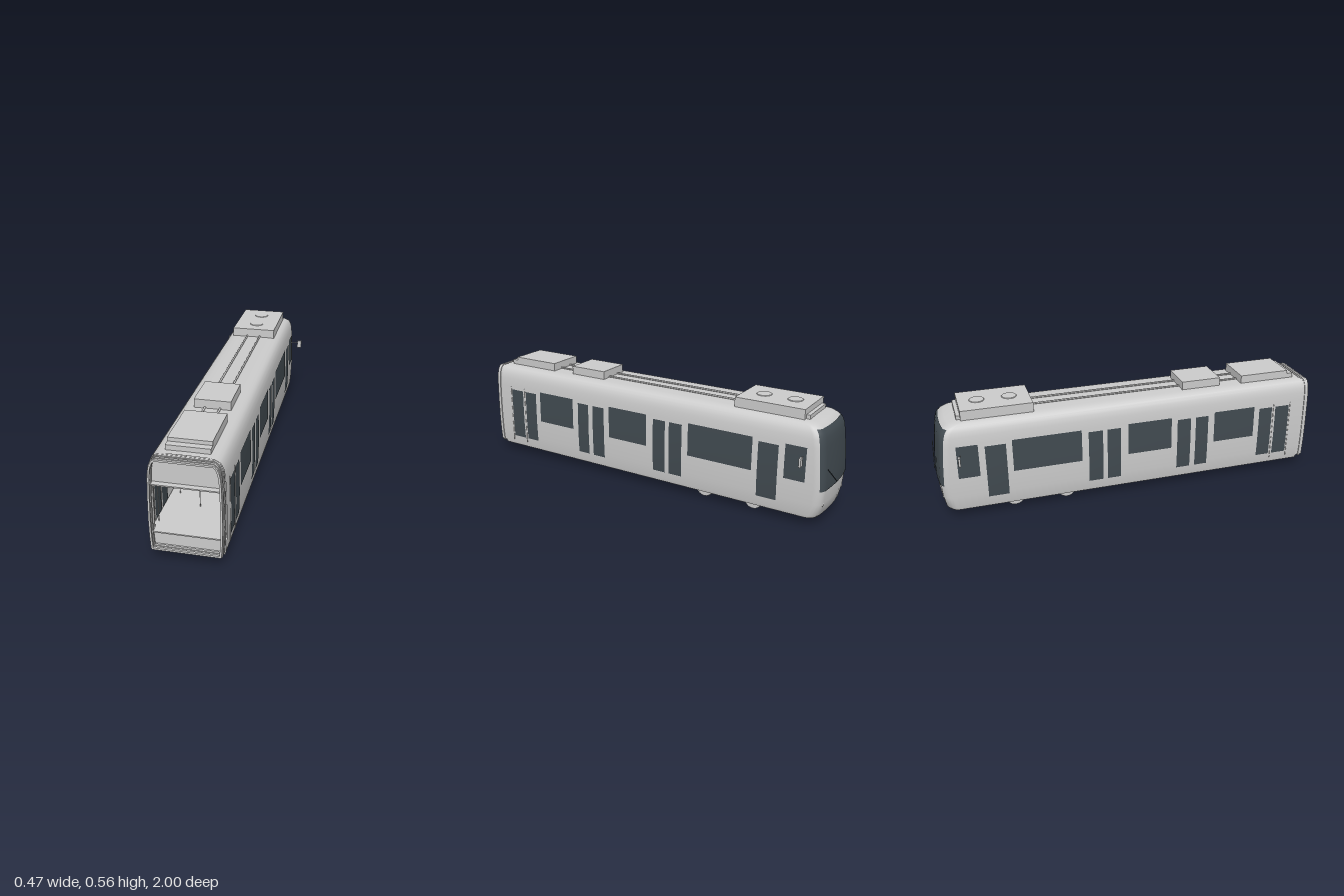
import * as THREE from 'three';
import { toCreasedNormals } from 'three/addons/utils/BufferGeometryUtils.js';

// Body heights: [y, half width, z of the cab face]
const ROWS = [
  [0.045, 0.162, -0.957], [0.06, 0.165, -0.973], [0.12, 0.169, -0.985], [0.2, 0.171, -0.992],
  [0.3, 0.17, -0.986], [0.4, 0.167, -0.976], [0.44, 0.164, -0.97], [0.465, 0.159, -0.962],
  [0.485, 0.151, -0.948], [0.498, 0.141, -0.925], [0.506, 0.126, -0.89], [0.51, 0.1, -0.86],
];
const END = 0.955;
const rowAt = (y) => {
  const i = Math.max(1, ROWS.findIndex((r) => r[0] >= y));
  const t = (y - ROWS[i - 1][0]) / (ROWS[i][0] - ROWS[i - 1][0]);
  return ROWS[i].map((v, k) => THREE.MathUtils.lerp(ROWS[i - 1][k], v, t));
};

// Point on the body. A number runs around the plan: face to 1, corner to 2, side to 3.
function bodyPoint(col, [y, w, zf], off) {
  if (typeof col === 'object') return [col.side * (w + off), y, col.z];
  const s = Math.abs(col), sg = Math.sign(col), r = Math.min(0.045, w);
  if (s <= 1) return [col * (w - r), y, zf + 0.008 * s * s - off];
  if (s <= 2) {
    const a = (s - 1) * Math.PI / 2;
    return [sg * (w - r + (r + off) * Math.sin(a)), y, zf + 0.008 + r - (r + off) * Math.cos(a)];
  }
  return [sg * (w + off), y, THREE.MathUtils.lerp(zf + 0.008 + r, END, s - 2)];
}

function bodyPatch(cols, rows, off = 0) {
  const pos = [], idx = [], n = cols.length;
  rows.forEach((r) => cols.forEach((c) => pos.push(...bodyPoint(c, r, off))));
  for (let j = 0; j < rows.length - 1; j++) for (let i = 0; i < n - 1; i++) {
    const a = j * n + i;
    idx.push(a, a + n, a + 1, a + 1, a + n, a + n + 1);
  }
  const g = new THREE.BufferGeometry();
  g.setAttribute('position', new THREE.Float32BufferAttribute(pos, 3));
  g.setIndex(idx);
  g.computeVertexNormals();
  return toCreasedNormals(g, 0.7);
}

// Outline of the body seen from the open end, pulled in by d
function outline(d, Type = THREE.Shape) {
  const right = ROWS.map(([y, w]) => [w - d, THREE.MathUtils.clamp(y, 0.045 + d, 0.51 - d)]);
  const pts = [...right, ...right.slice().reverse().map(([x, y]) => [-x, y])];
  return new Type(pts.map((p) => new THREE.Vector2(...p)));
}

export function createModel() {
  const model = new THREE.Group();
  const paint = new THREE.MeshStandardMaterial({ color: 0xcccccc, side: THREE.DoubleSide });
  paint.name = 'light grey paint';
  const glass = new THREE.MeshStandardMaterial({ color: 0x414a50, side: THREE.DoubleSide });
  glass.name = 'dark glass';

  const add = (name, geo, mat = paint, x = 0, y = 0, z = 0) => {
    const m = new THREE.Mesh(geo, mat);
    m.name = name;
    m.position.set(x, y, z);
    model.add(m);
    return m;
  };
  const box = (name, x0, x1, y0, y1, z0, z1, mat) => add(name,
    new THREE.BoxGeometry(x1 - x0, y1 - y0, z1 - z0), mat, (x0 + x1) / 2, (y0 + y1) / 2, (z0 + z1) / 2);
  const rod = (name, a, b, r, mat) => add(name, new THREE.TubeGeometry(
    new THREE.LineCurve3(new THREE.Vector3(...a), new THREE.Vector3(...b)), 1, r, 8), mat);

  // Body shell with roof and underside
  const cols = [3, 2, 1.8, 1.6, 1.4, 1.2, 1, 0.5];
  const all = [...cols.map((c) => -c), 0, ...cols.slice().reverse()];
  add('bodyShell', bodyPatch(all, [[0.045, 0, -0.957], ...ROWS, [0.511, 0, -0.86]]));

  // Windscreen wrapping the cab corners
  const screenRows = [0.19, 0.2, 0.25, 0.3, 0.35, 0.4, 0.44, 0.465, 0.482].map(rowAt);
  add('windscreen', bodyPatch(all.filter((c) => Math.abs(c) <= 1.7), screenRows, 0.003), glass);
  rod('wiper', [0.02, 0.2, -0.998], [0.14, 0.3, -0.99], 0.002, glass);

  // Side glazing: [z front, z back, is a door]
  const panes = [
    [0.88, 0.8, 1], [0.78, 0.705, 1], [0.675, 0.445, 0], [0.41, 0.34, 1], [0.312, 0.238, 1],
    [0.205, -0.03, 0], [-0.07, -0.142, 1], [-0.165, -0.24, 1], [-0.275, -0.625, 0],
    [-0.655, -0.758, 1], [-0.79, -0.895, 0],
  ];
  for (const side of [-1, 1]) {
    for (const [z0, z1, door] of panes) {
      const ys = door ? [0.1, 0.12, 0.2, 0.3, 0.38] : [0.225, 0.3, 0.395];
      const c = [{ side, z: z0 }, { side, z: z1 }];
      if (side > 0) c.reverse();
      for (const off of [0.002, -0.003])
        add(door ? 'doorGlass' : 'sideWindow', bodyPatch(c, ys.map(rowAt), off), glass);
    }
    for (const z of [0.888, 0.79])
      rod('doorRail', [side * 0.171, 0.075, z], [side * 0.169, 0.395, z], 0.002);

    // Mirrors, lamps, wheels and bogie parts
    rod('mirrorArm', [side * 0.165, 0.348, -0.875], [side * 0.222, 0.357, -0.885], 0.002);
    box('mirror', side * 0.221 - 0.012, side * 0.221 + 0.012, 0.32, 0.364, -0.892, -0.882);
    const lamp = add('headlamp', new THREE.SphereGeometry(0.011, 12, 8), paint, side * 0.125, 0.115, -0.972);
    lamp.scale.z = 0.6;
    for (const z of [-0.35, -0.62]) {
      const wheel = add('wheel', new THREE.CylinderGeometry(0.046, 0.046, 0.014, 28), paint, side * 0.115, 0.048, z);
      const flange = add('wheelFlange', new THREE.CylinderGeometry(0.05, 0.05, 0.004, 28), paint, side * 0.107, 0.05, z);
      wheel.rotation.z = flange.rotation.z = Math.PI / 2;
      box('axleBox', side * 0.13 - 0.007, side * 0.13 + 0.007, 0.035, 0.05, z - 0.02, z + 0.02);
    }
    box('trackBrake', side * 0.073 - 0.003, side * 0.073 + 0.003, 0.018, 0.05, -0.53, -0.44);
    rod('roofRail', [side * 0.036, 0.515, -0.52], [side * 0.036, 0.515, 0.64], 0.005);
  }
  for (const z of [-0.43, -0.54])
    add('motor', new THREE.CylinderGeometry(0.013, 0.013, 0.106, 16), paint, -0.01, 0.036, z).rotation.z = Math.PI / 2;

  // Roof equipment
  box('rearRoofUnit', -0.118, 0.118, 0.505, 0.556, -0.855, -0.5);
  box('rearRoofLip', -0.1, 0.1, 0.5, 0.527, -0.874, -0.855);
  for (const z of [-0.76, -0.6])
    add('roofFan', new THREE.CylinderGeometry(0.036, 0.038, 0.003, 24), paint, 0, 0.5575, z);
  box('middleRoofUnit', -0.088, 0.088, 0.505, 0.553, 0.29, 0.5);
  box('frontRoofUnit', -0.098, 0.098, 0.505, 0.552, 0.62, 0.89);
  box('frontRoofLip', -0.098, 0.098, 0.505, 0.534, 0.89, 0.923);

  // Open end wall with the passage
  const wall = outline(0.004);
  const hole = new THREE.Path();
  hole.moveTo(-0.15, 0.138);
  hole.lineTo(-0.15, 0.352);
  hole.quadraticCurveTo(-0.15, 0.368, -0.134, 0.368);
  hole.lineTo(0.134, 0.368);
  hole.quadraticCurveTo(0.15, 0.368, 0.15, 0.352);
  hole.lineTo(0.15, 0.138);
  wall.holes.push(hole);
  add('endWall', new THREE.ExtrudeGeometry(wall, { depth: 0.008, bevelEnabled: false }), paint, 0, 0, END - 0.008);
  box('passageSill', -0.15, 0.15, 0.132, 0.138, 0.95, 0.982);
  box('passageHeader', -0.15, 0.15, 0.366, 0.372, 0.95, 0.982);

  // Folded gangway bellows
  for (let i = 0; i < 4; i++) {
    const d = i % 2 ? 0.009 : 0.005;
    const ring = outline(d);
    ring.holes.push(outline(d + 0.009, THREE.Path));
    add('bellowsFold', new THREE.ExtrudeGeometry(ring, { depth: 0.011, bevelEnabled: false }), paint, 0, 0, END + 0.011 * i);
  }

  // Interior: floor, ceiling, cab partition, panels, seats and poles
  box('floor', -0.163, 0.163, 0.13, 0.138, -0.77, 0.95);
  box('ceiling', -0.155, 0.155, 0.44, 0.445, -0.77, 0.95);
  box('cabPartition', -0.163, 0.163, 0.138, 0.44, -0.78, -0.77);
  box('partitionFrame', -0.047, 0.047, 0.323, 0.358, -0.77, -0.766);
  box('partitionWindow', -0.043, 0.043, 0.326, 0.355, -0.766, -0.763, glass);
  for (const side of [-1, 1]) {
    box('seatBack', side * 0.09 - 0.06, side * 0.09 + 0.06, 0.19, 0.3, -0.71, -0.7);
    box('seatBase', side * 0.085 - 0.065, side * 0.085 + 0.065, 0.138, 0.17, -0.7, -0.64);
    for (const z of [0.66, 0.22, -0.26]) rod('grabPole', [side * 0.12, 0.138, z], [side * 0.12, 0.44, z], 0.002);
    rod('doorPole', [side * 0.148, 0.138, 0.9], [side * 0.148, 0.44, 0.9], 0.002);
  }
  rod('centrePole', [0, 0.138, 0.75], [0, 0.44, 0.75], 0.002);
  return model;
}
